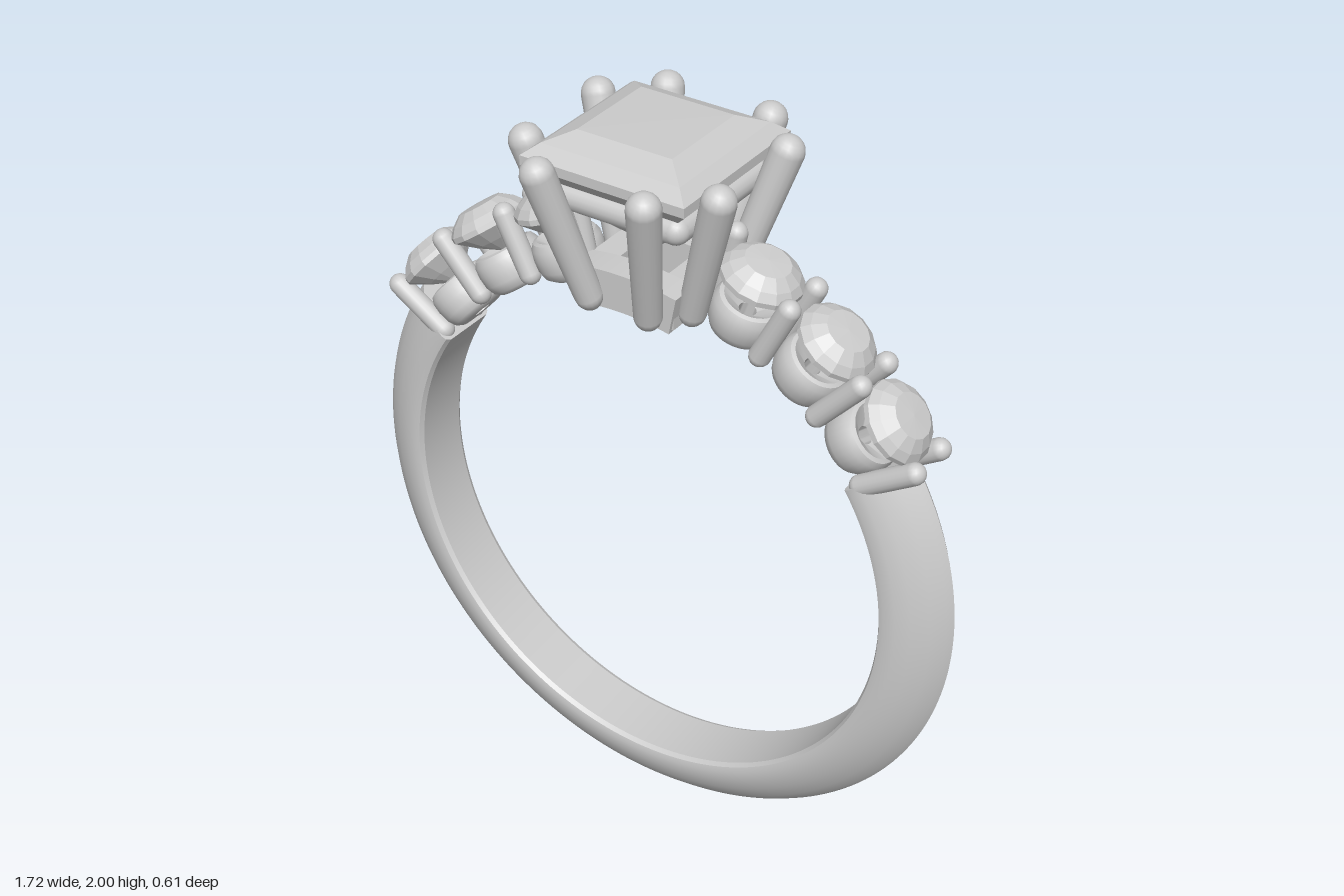
import * as THREE from 'three';
import { toCreasedNormals } from 'three/addons/utils/BufferGeometryUtils.js';

const CENTER_Y = 0.865, INNER = 0.695;
const deg = THREE.MathUtils.degToRad;
const v2 = (list) => list.map(([x, y]) => new THREE.Vector2(x, y));
const v3 = (x, y, z) => new THREE.Vector3(x, y, z);

export function createModel() {
  const ring = new THREE.Group();
  ring.name = 'ring';
  const metal = new THREE.MeshStandardMaterial({ color: 0xcccccc });
  const sheet = new THREE.MeshStandardMaterial({ color: 0xcccccc, side: THREE.DoubleSide });
  const gem = new THREE.MeshStandardMaterial({ color: 0xcccccc, flatShading: true });

  function add(parent, geometry, material, name) {
    const mesh = new THREE.Mesh(geometry, material);
    mesh.name = name;
    parent.add(mesh);
    return mesh;
  }

  // Round-ended rod from a to b
  function rod(parent, a, b, radius, name) {
    const dir = b.clone().sub(a);
    const mesh = add(parent, new THREE.CapsuleGeometry(radius, dir.length(), 6, 16), metal, name);
    mesh.position.copy(a).add(b).multiplyScalar(0.5);
    mesh.quaternion.setFromUnitVectors(v3(0, 1, 0), dir.normalize());
    return mesh;
  }

  // Group whose y axis points outward from the finger hole at an angle
  function radial(angle, name) {
    const g = new THREE.Group();
    g.name = name;
    g.position.y = CENTER_Y;
    g.rotation.z = deg(angle - 90);
    ring.add(g);
    return g;
  }

  // Band: knife-edged outside, nearly flat inside, open at the top
  const profile = v2([
    [0.695, -0.075], [0.702, -0.087], [0.716, -0.09], [0.745, -0.086], [0.78, -0.073], [0.82, -0.046], [0.848, -0.018], [0.86, 0],
    [0.848, 0.018], [0.82, 0.046], [0.78, 0.073], [0.745, 0.086], [0.716, 0.09], [0.702, 0.087], [0.695, 0.075],
    [0.695, -0.075],
  ]);
  const band = new THREE.LatheGeometry(profile, 120, deg(-123), deg(246));
  band.rotateX(Math.PI / 2);
  add(ring, toCreasedNormals(band, deg(28)), metal, 'band').position.y = CENTER_Y;
  for (const angle of [33, 147]) {
    const cap = new THREE.ShapeGeometry(new THREE.Shape(profile));
    cap.rotateX(Math.PI / 2);
    const end = add(ring, cap, sheet, 'bandEnd');
    end.position.y = CENTER_Y;
    end.rotation.z = deg(angle);
  }

  // Shoulder stones, cups and shared prongs
  const stoneGeo = new THREE.LatheGeometry(v2([
    [0, 0.79], [0.06, 0.83], [0.104, 0.866], [0.104, 0.88], [0.088, 0.9], [0.058, 0.922], [0, 0.925],
  ]), 14);
  const cupGeo = toCreasedNormals(new THREE.LatheGeometry(v2([
    [0.022, 0.697], [0.06, 0.697], [0.077, 0.708], [0.087, 0.73], [0.09, 0.76],
    [0.088, 0.785], [0.08, 0.8], [0.07, 0.804], [0.022, 0.765], [0.022, 0.697],
  ]), 32), deg(40));
  for (const side of [0, 1]) {
    const place = (a) => (side ? 180 - a : a);
    for (const a of [39.8, 55, 70.3]) {
      const setting = radial(place(a), 'shoulderSetting');
      add(setting, stoneGeo, gem, 'roundStone');
      add(setting, cupGeo, metal, 'cup');
    }
    for (const a of [32.5, 47.8, 63, 78]) {
      const pair = radial(place(a), 'shoulderProngs');
      for (const z of [-0.06, 0.06]) {
        rod(pair, v3(0, 0.73, z), v3(0, 0.893, z), 0.028, 'shoulderProng');
      }
    }
  }

  // Square centre stone: four-sided turned profile of half-widths
  const square = new THREE.LatheGeometry(v2([
    [0, 1.67], [0.08, 1.745], [0.165, 1.86], [0.225, 1.92], [0.225, 1.945], [0.19, 1.972], [0.13, 1.998], [0, 2],
  ].map(([h, y]) => [h * Math.SQRT2, y])), 4);
  square.rotateY(Math.PI / 4);
  add(ring, square, gem, 'centreStone');

  // Upper rail below the stone
  for (let i = 0; i < 4; i++) {
    const side = new THREE.Group();
    side.name = 'railSide';
    side.rotation.y = i * Math.PI / 2;
    ring.add(side);
    rod(side, v3(-0.165, 1.845, 0.165), v3(0.165, 1.845, 0.165), 0.035, 'upperRail');
  }

  // Lower frame: two arched walls joined by two cross walls
  const arch = new THREE.Shape();
  arch.absarc(0, 0, 0.795, deg(79), deg(101), false);
  arch.absarc(0, 0, INNER, deg(101), deg(79), true);
  const archGeo = new THREE.ExtrudeGeometry(arch, { depth: 0.08, bevelEnabled: false, curveSegments: 16 });
  for (const z of [-0.145, 0.065]) {
    add(ring, archGeo, metal, 'lowerFrameArch').position.set(0, CENTER_Y, z);
  }
  for (const x of [-0.105, 0.105]) {
    add(ring, new THREE.BoxGeometry(0.07, 0.09, 0.27), metal, 'lowerFrameSide').position.set(x, 1.6, 0);
  }

  // Eight splayed claws, two on each side of the stone
  for (const sx of [-1, 1]) for (const sz of [-1, 1]) {
    for (const [bx, bz, tx, tz] of [[0.085, 0.16, 0.145, 0.265], [0.16, 0.085, 0.265, 0.145]]) {
      const a = v3(sx * bx, 1.59, sz * bz), b = v3(sx * tx, 1.937, sz * tz);
      const claw = rod(ring, a, b, 0.042, 'claw');
      // Slight taper toward the foot
      const pos = claw.geometry.attributes.position;
      for (let i = 0; i < pos.count; i++) {
        const k = THREE.MathUtils.mapLinear(pos.getY(i), -0.22, 0.22, 0.82, 1.02);
        pos.setXYZ(i, pos.getX(i) * k, pos.getY(i), pos.getZ(i) * k);
      }
    }
  }
  return ring;
}
